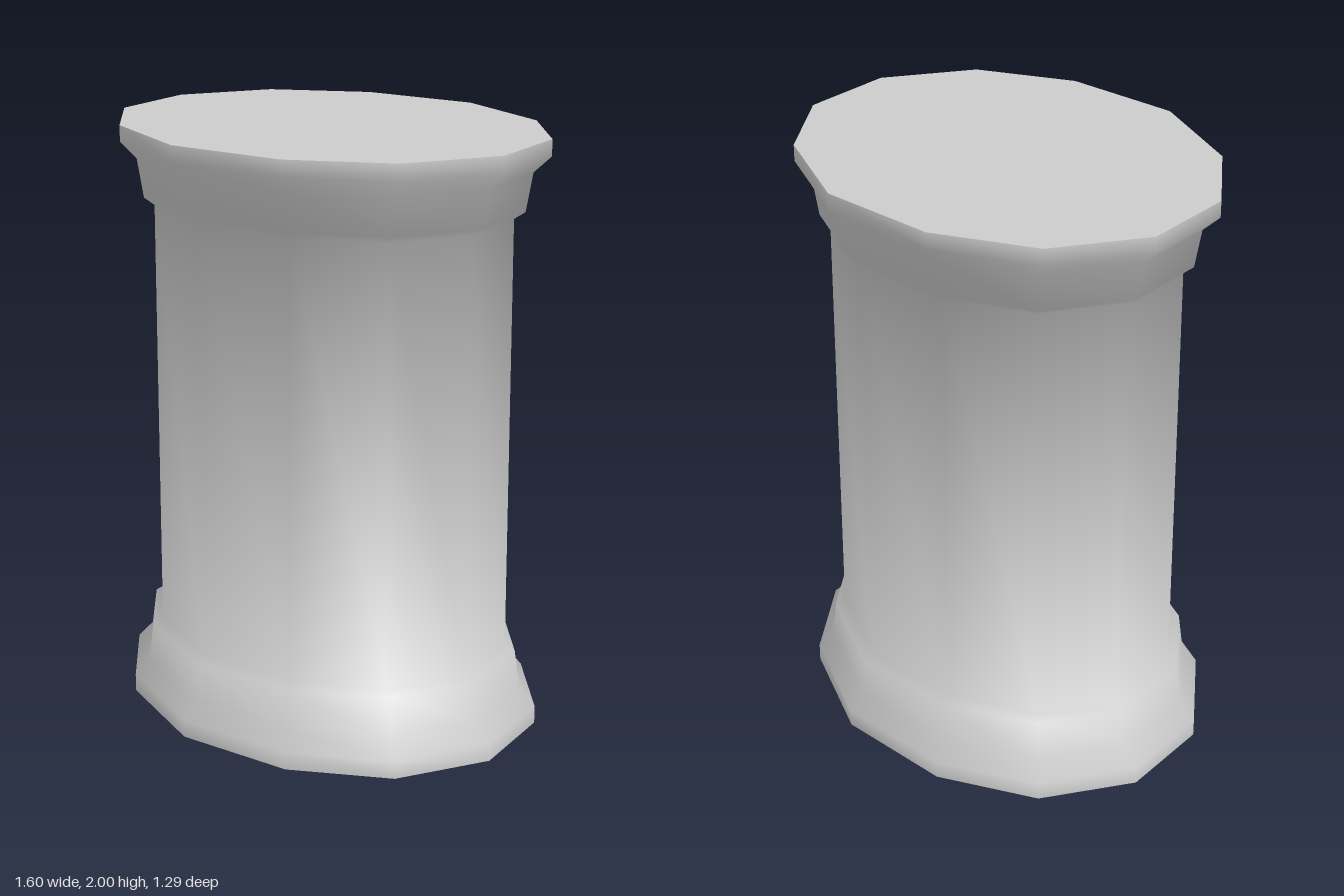
import * as THREE from 'three';
import { toCreasedNormals } from 'three/addons/utils/BufferGeometryUtils.js';

const SIDES = 12;
const DEPTH = 0.81; // depth of the oval relative to its width

// Squash a round geometry into the oval plan, slightly squaring its shoulders
function makeOval(geometry) {
  const p = geometry.attributes.position;
  for (let i = 0; i < p.count; i++) {
    const x = p.getX(i), z = p.getZ(i);
    const shoulder = Math.abs(Math.abs(Math.atan2(z, x) / Math.PI - 0.5 * Math.sign(z)) - 1 / 6) < 0.01;
    p.setX(i, x * (shoulder ? 1.025 : 1));
    p.setZ(i, z * DEPTH * (shoulder ? 0.972 : 0.995));
  }
  return geometry;
}

export function createModel() {
  const group = new THREE.Group();
  group.name = 'ovalColumn';
  const material = new THREE.MeshStandardMaterial({ color: 0xcccccc });

  function add(name, geometry) {
    const mesh = new THREE.Mesh(geometry, material);
    mesh.name = name;
    group.add(mesh);
    return mesh;
  }

  // Shaft with a stepped, flared moulding at each end
  const profile = [
    [0.8, 0], [0.8, 0.06], [0.74, 0.12], [0.72, 0.25], [0.682, 0.268],
    [0.676, 1.735], [0.716, 1.76], [0.74, 1.89], [0.805, 1.945], [0.805, 2],
  ].map(([r, y]) => new THREE.Vector2(Math.min(r, 0.802), y));
  const shaft = makeOval(new THREE.LatheGeometry(profile, SIDES));
  add('shaft', toCreasedNormals(shaft, Math.PI));

  // Flat end caps
  for (const [name, y, turn] of [['topCap', 2, -1], ['bottomCap', 0, 1]]) {
    const cap = new THREE.CircleGeometry(y ? 0.802 : 0.8, SIDES).rotateX(turn * Math.PI / 2);
    makeOval(cap).computeVertexNormals();
    add(name, cap).position.y = y;
  }
  return group;
}
